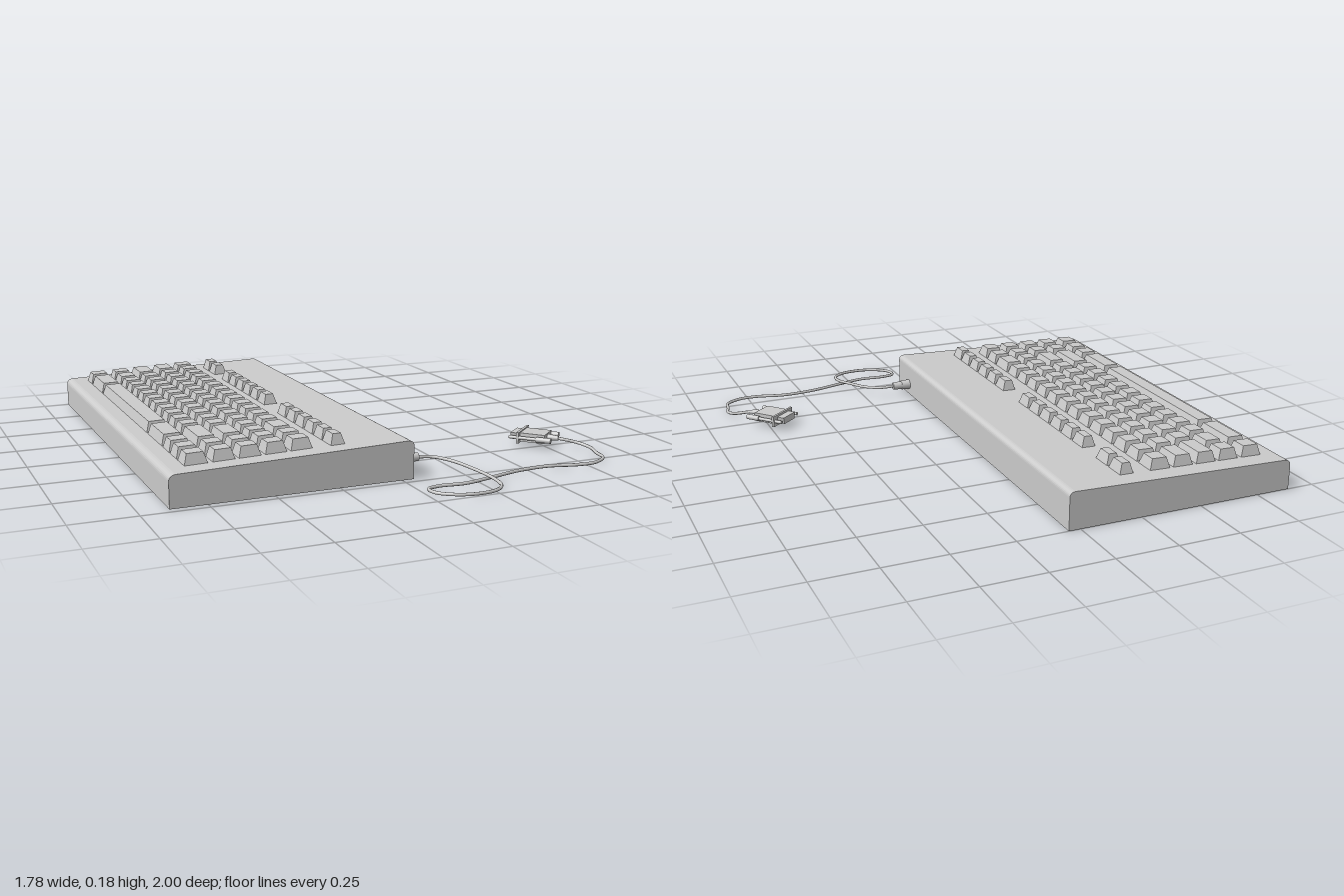
import * as THREE from 'three';

const material = new THREE.MeshStandardMaterial({ color: 0xcccccc, side: THREE.DoubleSide });
const flatMaterial = new THREE.MeshStandardMaterial({ color: 0xcccccc, flatShading: true });

function add(parent, name, geometry, mat = material) {
  const mesh = new THREE.Mesh(geometry, mat);
  mesh.name = name;
  parent.add(mesh);
  return mesh;
}

// Height of the sloping deck at x
const deckY = (x) => 0.122 + (x + 0.87) * 0.03;

// Wedge-shaped case: side profile extruded along its length
function caseGeometry() {
  const s = new THREE.Shape();
  s.moveTo(-0.89, 0);
  s.lineTo(0.047, 0);
  s.lineTo(0.047, 0.128);
  s.quadraticCurveTo(0.047, 0.148, 0.025, 0.149);
  s.lineTo(-0.17, deckY(-0.17));
  s.lineTo(-0.865, deckY(-0.865));
  s.quadraticCurveTo(-0.89, 0.119, -0.89, 0.097);
  s.closePath();
  const g = new THREE.ExtrudeGeometry(s, { depth: 1.72, bevelEnabled: false, curveSegments: 6 });
  return g.translate(0, 0, -1);
}

// Tapered keycap between x0..x1 and z0..z1, its base following the deck
function keyGeometry(x0, x1, z0, z1) {
  const g = new THREE.BoxGeometry(1, 1, 1);
  const p = g.attributes.position;
  for (let i = 0; i < p.count; i++) {
    const top = p.getY(i) > 0;
    const xl = top ? x0 + 0.012 : x0;
    const xr = top ? x1 - 0.014 : x1;
    const inset = top ? 0.011 : 0;
    const x = p.getX(i) < 0 ? xl : xr;
    const z = p.getZ(i) < 0 ? z0 + inset : z1 - inset;
    p.setXYZ(i, x, deckY(x) + (top ? 0.041 : -0.003), z);
  }
  g.computeVertexNormals();
  return g;
}

// Key rows: first z of each key in units of one key pitch, with its length
const PITCH = 0.0958, START = -0.92, GAP = 0.011;
const ones = (from, count) => Array.from({ length: count }, (_, i) => [from + i, 1]);
const pad = [[14.35, 1], [15.38, 1]];
const rows = [
  { name: 'spaceRowKey', x: [-0.81, -0.722],
    keys: [[0, 1], [1.03, 2.16], [3.2, 7.9], [11.13, 2.2], [13.35, 1], ...pad] },
  { name: 'bottomLetterKey', x: [-0.706, -0.62],
    keys: [[0, 1], [1, 1.18], ...ones(2.18, 10), [12.18, 2.14], ...pad] },
  { name: 'homeLetterKey', x: [-0.608, -0.522],
    keys: [[0, 1.64], ...ones(1.64, 11), [12.64, 1.68], ...pad] },
  { name: 'topLetterKey', x: [-0.508, -0.423],
    keys: [[0, 1.38], ...ones(1.38, 13), ...pad] },
  { name: 'numberKey', x: [-0.41, -0.324],
    keys: [...ones(0, 13), [13, 1.35], ...pad] },
  { name: 'functionKey', x: [-0.255, -0.197],
    keys: [...ones(0, 2), ...ones(3, 6), ...ones(10.5, 5), [15.42, 1]] },
];

// Rod lying along x from a to b
function rod(r0, r1, a, b, sides = 12) {
  return new THREE.CylinderGeometry(r1, r0, b - a, sides).rotateZ(-Math.PI / 2).translate((a + b) / 2, 0, 0);
}

// Cable plug with hood, flange, D-shaped shell and two thumbscrews; faces local +x
function createPlug() {
  const plug = new THREE.Group();
  plug.name = 'plug';
  add(plug, 'plugHood', new THREE.BoxGeometry(0.105, 0.036, 0.098).translate(-0.008, 0, 0));
  add(plug, 'plugFlange', new THREE.BoxGeometry(0.01, 0.046, 0.142).translate(0.047, 0, 0));

  const d = new THREE.Shape([[-0.043, 0.014], [0.043, 0.014], [0.037, -0.014], [-0.037, -0.014]]
    .map(([x, y]) => new THREE.Vector2(x, y)));
  const shell = new THREE.ExtrudeGeometry(d, { depth: 0.034, bevelEnabled: false });
  add(plug, 'plugShell', shell.rotateY(Math.PI / 2).translate(0.05, 0, 0));

  for (const side of [-1, 1]) {
    add(plug, 'thumbscrew', rod(0.007, 0.007, -0.06, 0.085)).position.z = side * 0.06;
    add(plug, 'thumbscrewKnob', rod(0.011, 0.011, -0.09, -0.03)).position.z = side * 0.06;
  }
  add(plug, 'plugStrainRelief', rod(0.01, 0.014, -0.105, -0.06));
  plug.position.set(0.725, 0.037, 0.463);
  plug.rotation.y = 2.29;
  return plug;
}

export function createModel() {
  const model = new THREE.Group();
  model.name = 'keyboard';
  add(model, 'case', caseGeometry(), flatMaterial);

  // Keys
  const keys = new THREE.Group();
  keys.name = 'keys';
  model.add(keys);
  for (const row of rows) {
    for (const [from, length] of row.keys) {
      const z = START + from * PITCH;
      add(keys, row.name, keyGeometry(row.x[0], row.x[1], z, z + length * PITCH - GAP), flatMaterial);
    }
  }

  // Stepped strain relief where the cable leaves the case
  const relief = new THREE.Group();
  relief.name = 'cableStrainRelief';
  relief.position.set(0, 0.046, 0.596);
  add(relief, 'reliefBase', rod(0.022, 0.02, 0.04, 0.085, 16));
  add(relief, 'reliefTip', rod(0.018, 0.016, 0.085, 0.125, 16));
  model.add(relief);

  // Cable looping from the case to the plug
  const path = [
    [0.11, 0.046, 0.596], [0.18, 0.043, 0.608], [0.235, 0.036, 0.665], [0.275, 0.026, 0.765],
    [0.302, 0.014, 0.865], [0.295, 0.008, 0.935], [0.25, 0.007, 0.978], [0.17, 0.007, 0.992],
    [0.09, 0.007, 0.972], [0.032, 0.007, 0.922], [0.03, 0.007, 0.872], [0.08, 0.007, 0.855],
    [0.19, 0.007, 0.862], [0.31, 0.007, 0.833], [0.455, 0.007, 0.794], [0.59, 0.007, 0.785],
    [0.71, 0.007, 0.813], [0.79, 0.007, 0.81], [0.855, 0.008, 0.765], [0.868, 0.01, 0.7],
    [0.882, 0.014, 0.64], [0.862, 0.022, 0.59], [0.81, 0.034, 0.552], [0.782, 0.037, 0.527],
  ].map((p) => new THREE.Vector3(...p));
  add(model, 'cable', new THREE.TubeGeometry(new THREE.CatmullRomCurve3(path), 160, 0.0065, 8));

  model.add(createPlug());
  return model;
}
